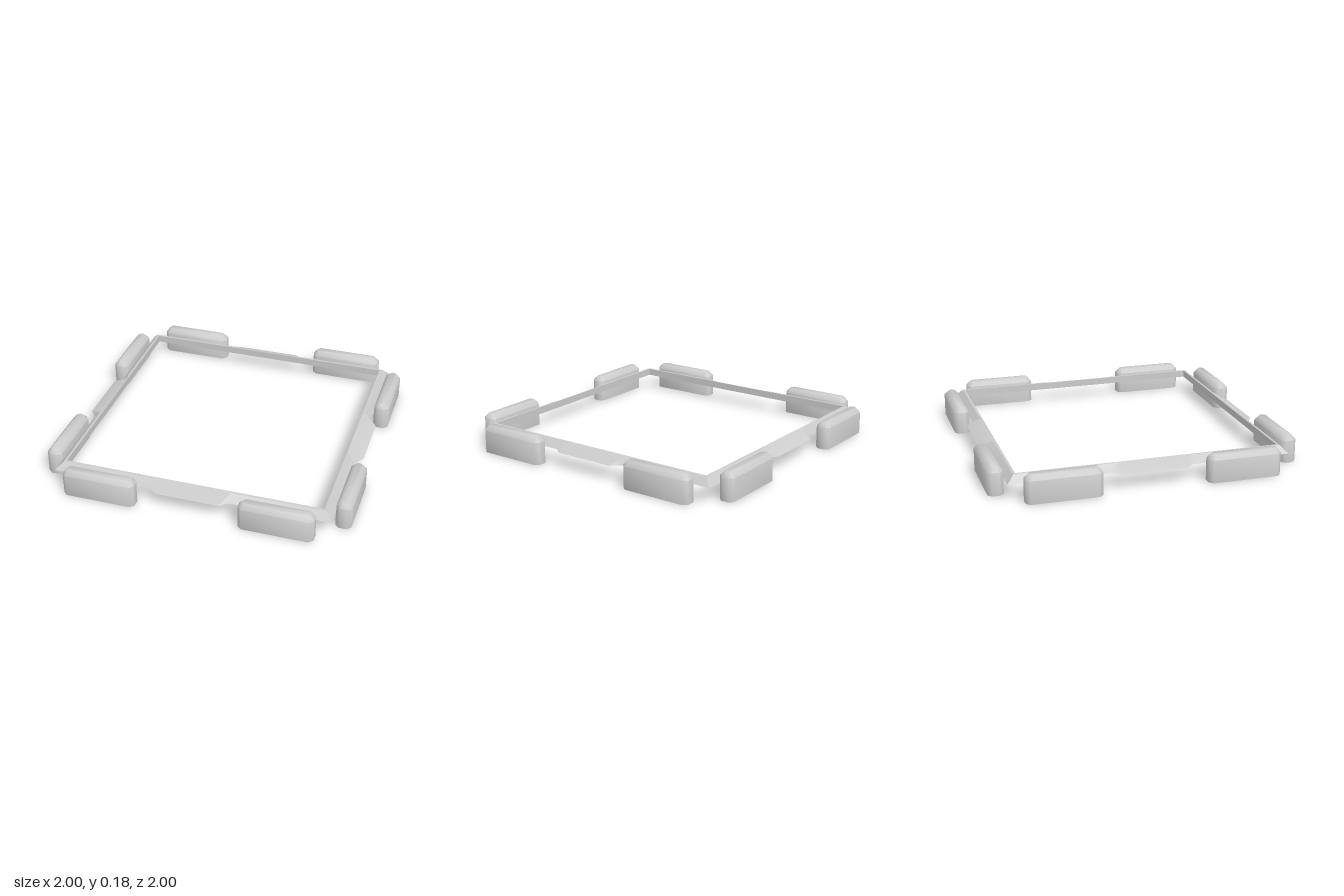
import * as THREE from 'three';
import { toCreasedNormals } from 'three/addons/utils/BufferGeometryUtils.js';

const material = new THREE.MeshStandardMaterial({ color: 0xcccccc, side: THREE.DoubleSide });

// Skins a list of equal-length rings; either joins last to first or caps both ends.
function loft(rings, looped, crease) {
  const n = rings[0].length;
  const index = [];
  const count = looped ? rings.length : rings.length - 1;
  for (let i = 0; i < count; i++) {
    const a = i * n, b = ((i + 1) % rings.length) * n;
    for (let j = 0; j < n; j++) {
      const k = (j + 1) % n;
      index.push(a + j, b + j, b + k, a + j, b + k, a + k);
    }
  }
  if (!looped) {
    const last = (rings.length - 1) * n;
    for (let j = 1; j < n - 1; j++) {
      index.push(0, j, j + 1, last, last + j + 1, last + j);
    }
  }
  const geometry = new THREE.BufferGeometry();
  geometry.setAttribute('position', new THREE.Float32BufferAttribute(rings.flat(2), 3));
  geometry.setIndex(index);
  return toCreasedNormals(geometry, crease);
}

// Square rim: sloped outside, thin ridge, upright inside, flared tab mid-side.
function frameGeometry() {
  const stations = [ // [along side, outer edge, ridge]
    [null, 0.9, 0.855], [-0.26, 0.9, 0.855], [-0.2, 0.945, 0.845],
    [0.2, 0.945, 0.845], [0.26, 0.9, 0.855],
  ];
  const rings = [];
  for (let side = 0; side < 4; side++) {
    const c = Math.round(Math.cos(side * Math.PI / 2));
    const s = Math.round(Math.sin(side * Math.PI / 2));
    for (const [along, outer, ridge] of stations) {
      const section = [[outer, 0.1], [ridge, 0.147], [0.84, 0.147], [0.84, 0.1]];
      rings.push(section.map(([out, y]) => {
        const x = along === null ? -out : along; // mitred at the corners
        return [x * c + out * s, y, out * c - x * s];
      }));
    }
  }
  return loft(rings, true, 0.6);
}

// Upright block with clipped corners and a bevelled top.
function blockGeometry() {
  const clip = 0.026;
  const ring = (y, inset) => {
    const w = 0.2375 - inset, d = 0.05 - inset, k = clip - inset * 0.45;
    return [
      [-w, y, d - k], [-w, y, -d + k], [-w + k, y, -d], [w - k, y, -d],
      [w, y, -d + k], [w, y, d - k], [w - k, y, d], [-w + k, y, d],
    ];
  };
  return loft([ring(0, 0), ring(0.147, 0), ring(0.178, 0.026)], false, 0.95);
}

export function createModel() {
  const model = new THREE.Group();
  model.name = 'squareFrame';

  const rim = new THREE.Mesh(frameGeometry(), material);
  rim.name = 'rim';
  model.add(rim);

  // Two blocks stand along each side
  const block = blockGeometry();
  ['front', 'left', 'back', 'right'].forEach((sideName, i) => {
    const pair = new THREE.Group();
    pair.name = sideName + 'Blocks';
    pair.rotation.y = i * Math.PI / 2;
    for (const sign of [-1, 1]) {
      const mesh = new THREE.Mesh(block, material);
      mesh.name = 'block';
      mesh.position.set(sign * 0.5725, 0, 0.95);
      pair.add(mesh);
    }
    model.add(pair);
  });
  return model;
}
